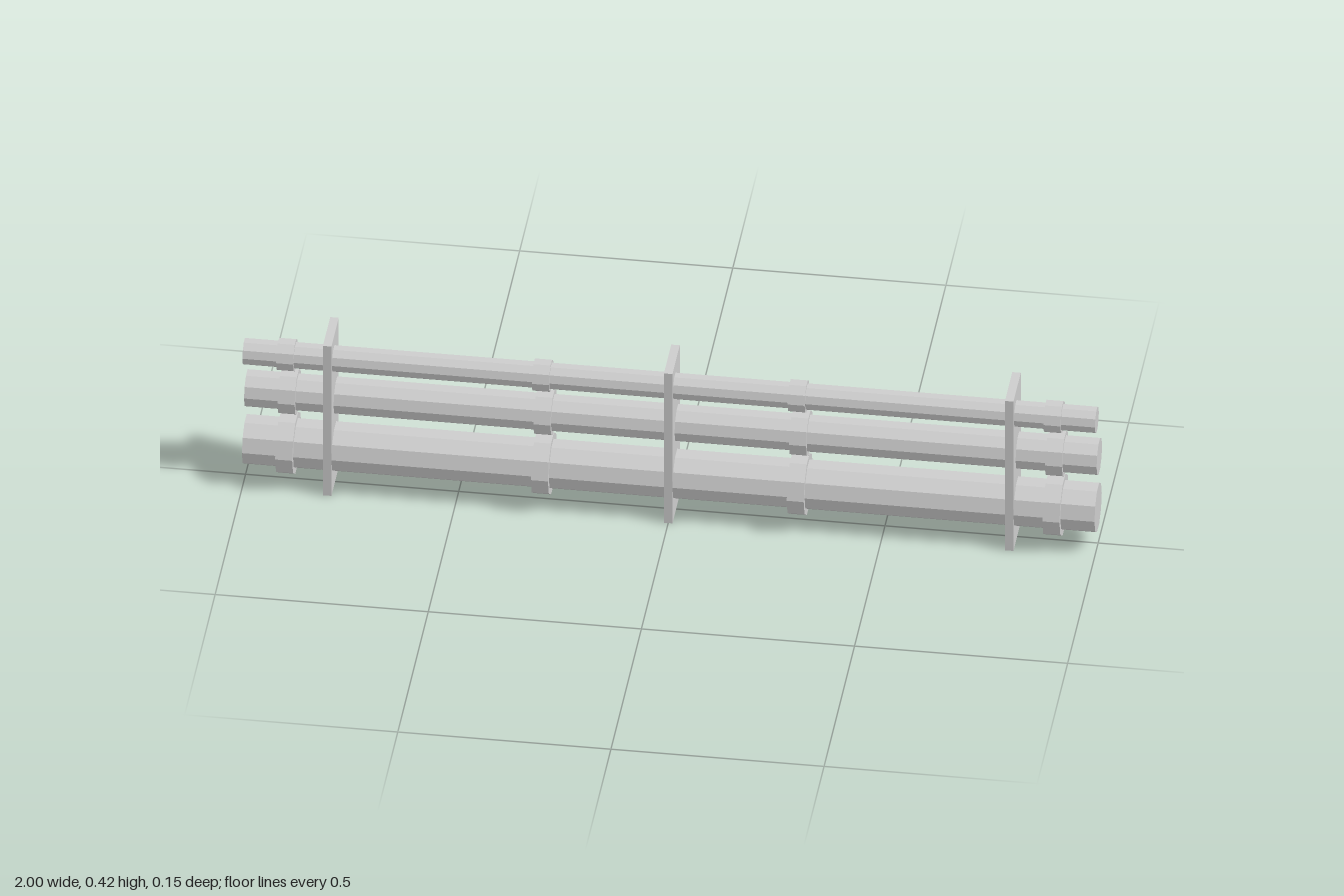
import * as THREE from 'three';

export function createModel() {
  const model = new THREE.Group();
  model.name = 'pipeRack';
  const steel = new THREE.MeshStandardMaterial({ color: 0xcccccc, flatShading: true });
  steel.name = 'pale grey steel';

  const add = (parent, name, geometry, x, y, z) => {
    const mesh = new THREE.Mesh(geometry, steel);
    mesh.name = name;
    mesh.position.set(x, y, z);
    parent.add(mesh);
  };

  // Ten-sided cylinder lying along x, with corners facing front and back
  const tube = (radius, length) =>
    new THREE.CylinderGeometry(radius, radius, length, 10).rotateZ(Math.PI / 2);

  // Three pipes, each with four collars
  const pipes = [
    { name: 'largePipe', radius: 0.06, collar: 0.075, y: 0.1, z: 0 },
    { name: 'mediumPipe', radius: 0.045, collar: 0.055, y: 0.23, z: -0.02 },
    { name: 'smallPipe', radius: 0.032, collar: 0.039, y: 0.36, z: 0.02 },
  ];
  for (const { name, radius, collar, y, z } of pipes) {
    const group = new THREE.Group();
    group.name = name;
    group.position.set(0, y, z);
    add(group, 'pipeBody', tube(radius, 2), 0, 0, 0);
    for (const x of [-0.9, -0.3, 0.3, 0.9]) add(group, 'collar', tube(collar, 0.04), x, 0, 0);
    model.add(group);
  }

  // Upright support plates
  for (const x of [-0.8, 0, 0.8]) {
    add(model, 'supportPlate', new THREE.BoxGeometry(0.02, 0.42, 0.12), x, 0.21, 0);
  }
  return model;
}
